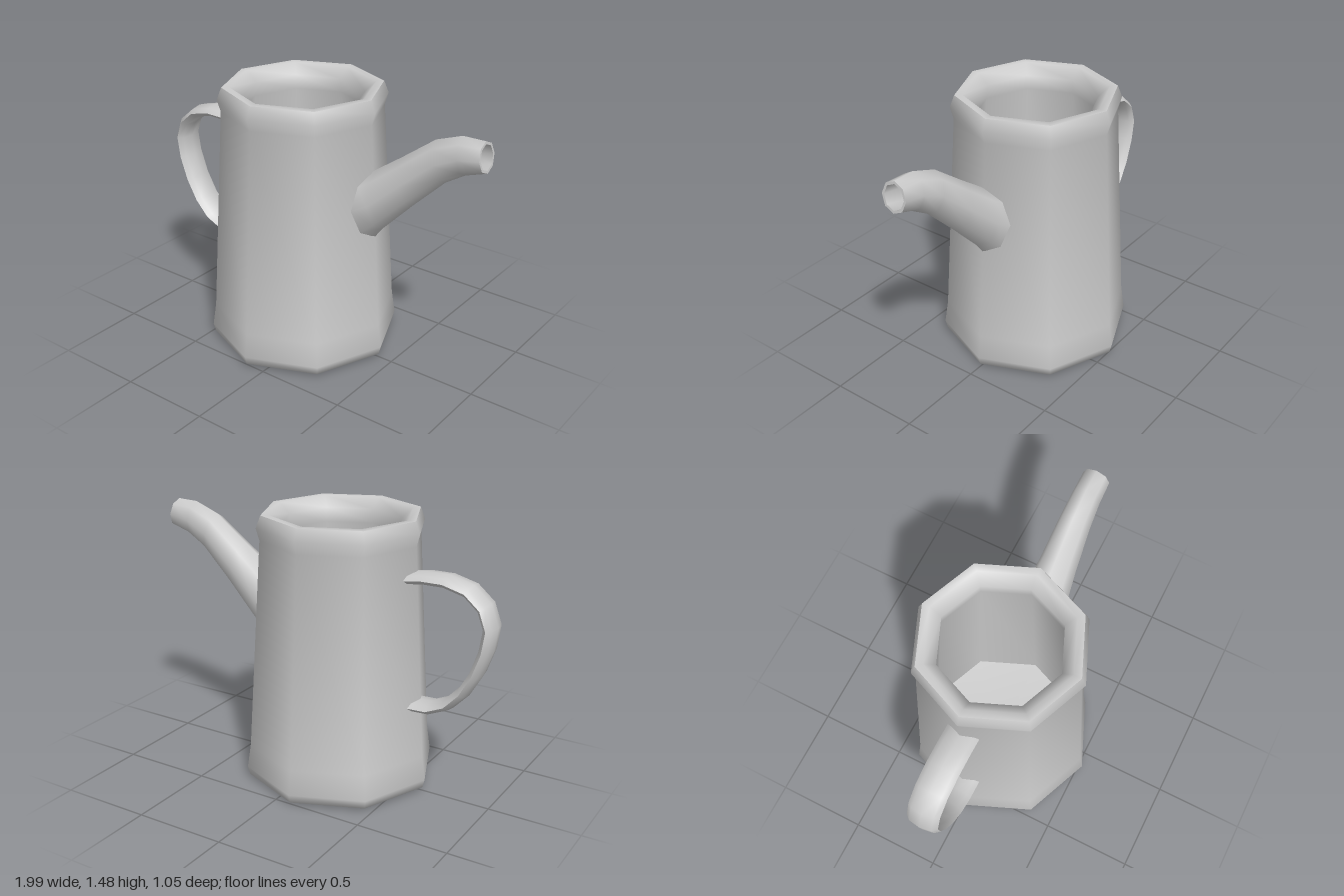
import * as THREE from 'three';
import { toCreasedNormals } from 'three/addons/utils/BufferGeometryUtils.js';

const SIDES = 8;
const AXIS_X = -0.1;
const material = new THREE.MeshStandardMaterial({ color: 0xcccccc, side: THREE.DoubleSide });

function addMesh(group, name, geometry) {
  const mesh = new THREE.Mesh(toCreasedNormals(geometry, 1.15), material);
  mesh.name = name;
  group.add(mesh);
  return mesh;
}

// Skin a list of rings, each made of SIDES points
function loft(rings) {
  const index = [];
  for (let i = 0; i < rings.length - 1; i++) {
    for (let j = 0; j < SIDES; j++) {
      const k = (j + 1) % SIDES;
      const a = i * SIDES + j, b = i * SIDES + k;
      index.push(a, b, b + SIDES, a, b + SIDES, a + SIDES);
    }
  }
  const geometry = new THREE.BufferGeometry();
  geometry.setAttribute('position', new THREE.Float32BufferAttribute(rings.flat(2), 3));
  geometry.setIndex(index);
  return geometry;
}

// Elliptical ring: (ux, uy) is the half axis in the xy plane, w the half width in z
function ring(cx, cy, ux, uy, w, saddle = 0) {
  return Array.from({ length: SIDES }, (_, j) => {
    const a = (j / SIDES) * Math.PI * 2, c = Math.cos(a), s = Math.sin(a);
    return [cx + ux * c - saddle * s * s, cy + uy * c, w * s];
  });
}

function bodyGeometry() {
  const profile = [
    [0, 0], [0.465, 0], [0.515, 0.018], [0.527, 0.065], [0.507, 0.2],   // foot
    [0.434, 1.345], [0.452, 1.41], [0.427, 1.475],                      // wall and collar
    [0.385, 1.475], [0.325, 1.42], [0.335, 1.34],                       // lip
    [0.44, 0.1], [0, 0.06],                                             // inside
  ];
  return new THREE.LatheGeometry(profile.map(([r, y]) => new THREE.Vector2(r, y)), SIDES);
}

function spoutGeometry() {
  // top x, top y, bottom x, bottom y, half width, saddle against the body
  const sections = [
    [0.34, 1.09, 0.37, 0.73, 0.137, 0.045],
    [0.37, 1.115, 0.42, 0.795, 0.125, 0],
    [0.52, 1.22, 0.6, 0.98, 0.102, 0],
    [0.71, 1.36, 0.775, 1.15, 0.085, 0],
    [0.855, 1.413, 0.88, 1.215, 0.077, 0],
    [0.978, 1.415, 0.998, 1.255, 0.074, 0],
  ];
  const wall = (scale) => sections.map(([tx, ty, bx, by, w, saddle]) => ring(
    (tx + bx) / 2, (ty + by) / 2,
    scale * (tx - bx) / 2, scale * (ty - by) / 2, scale * w, saddle));
  // outer wall, then the bore running back from the mouth
  return loft([...wall(1), ...wall(0.82).reverse()]);
}

function handleGeometry() {
  const path = [
    [-0.5, 1.185], [-0.6, 1.2], [-0.72, 1.202], [-0.84, 1.172], [-0.925, 1.1],
    [-0.962, 1.0], [-0.945, 0.88], [-0.9, 0.75], [-0.835, 0.635],
    [-0.755, 0.55], [-0.655, 0.505], [-0.55, 0.5],
  ];
  const last = path.length - 1;
  const rings = path.map(([x, y], i) => {
    const p = path[Math.max(i - 1, 0)], q = path[Math.min(i + 1, last)];
    const length = Math.hypot(q[0] - p[0], q[1] - p[1]);
    const t = 0.034 - 0.004 * Math.abs(i / last - 0.5) * 2;
    return ring(x, y, -t * (q[1] - p[1]) / length, t * (q[0] - p[0]) / length, 0.087);
  });
  // closed ends
  return loft([ring(...path[0], 0, 0, 0), ...rings, ring(...path[last], 0, 0, 0)]);
}

export function createModel() {
  const group = new THREE.Group();
  group.name = 'wateringJug';
  addMesh(group, 'body', bodyGeometry()).position.x = AXIS_X;
  addMesh(group, 'spout', spoutGeometry());
  addMesh(group, 'handle', handleGeometry());
  return group;
}
